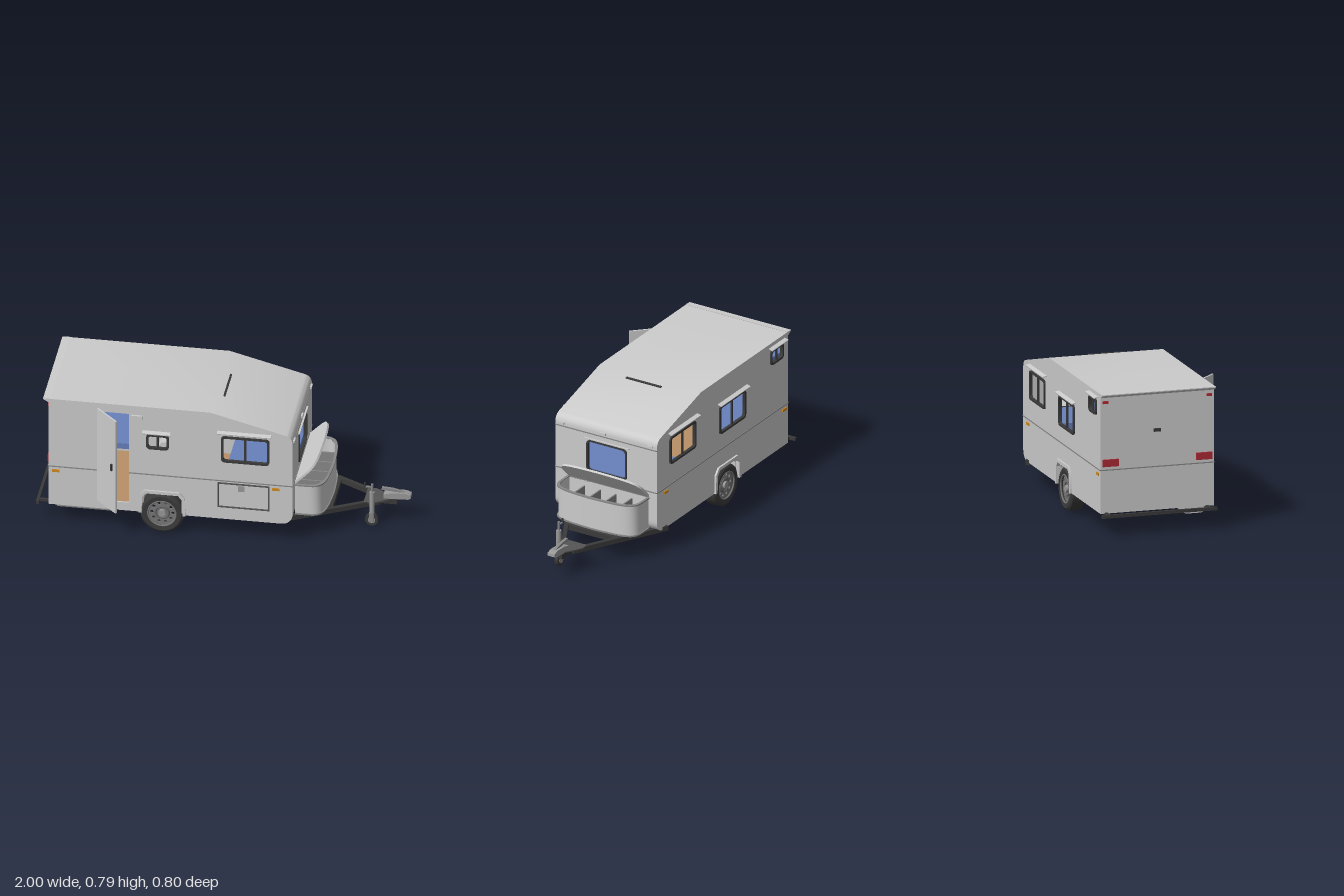
import * as THREE from 'three';
import { toCreasedNormals } from 'three/addons/utils/BufferGeometryUtils.js';

const GREY = 0xcccccc, DARK = 0x3a3a3a, STEEL = 0x555555, BLUE = 0x6680bb, ORANGE = 0xd08a20, RED = 0xb02a35;
const ZL = 0.277, ZR = -0.37, W = ZL - ZR, ZC = (ZL + ZR) / 2;

export function createModel() {
  const root = new THREE.Group();
  const add = (name, geo, color = GREY, parent = root) => {
    const m = new THREE.Mesh(geo, new THREE.MeshStandardMaterial({ color, side: THREE.DoubleSide }));
    m.name = name;
    parent.add(m);
    return m;
  };
  const box = (name, x0, x1, y0, y1, z0, z1, color, parent) => {
    const m = add(name, new THREE.BoxGeometry(x1 - x0, y1 - y0, Math.abs(z1 - z0)), color, parent);
    m.position.set((x0 + x1) / 2, (y0 + y1) / 2, (z0 + z1) / 2);
    return m;
  };
  const extrude = (shape, depth) => toCreasedNormals(
    new THREE.ExtrudeGeometry(shape, { depth, bevelEnabled: false, curveSegments: 10 }), 0.6);
  const poly = (pts) => new THREE.Shape(pts.map(p => new THREE.Vector2(p[0], p[1])));
  const rounded = (x0, x1, y0, y1, r) => {
    const s = new THREE.Shape();
    s.absarc(x1 - r, y0 + r, r, -Math.PI / 2, 0);
    s.absarc(x1 - r, y1 - r, r, 0, Math.PI / 2);
    s.absarc(x0 + r, y1 - r, r, Math.PI / 2, Math.PI);
    s.absarc(x0 + r, y0 + r, r, Math.PI, Math.PI * 1.5);
    s.closePath();
    return s;
  };
  const cyl = (name, r, h, pos, color, axis = 'y', parent = root, n = 20) => {
    const g = new THREE.CylinderGeometry(r, r, h, n);
    if (axis === 'z') g.rotateX(Math.PI / 2);
    if (axis === 'x') g.rotateZ(Math.PI / 2);
    const m = add(name, g, color, parent);
    m.position.set(...pos);
    return m;
  };

  // Body section: rear wall, roof and rounded brow, then the curved nose bottom
  const arc = (cx, cy, r, a0, a1, n = 8) => Array.from({ length: n + 1 }, (_, i) => {
    const a = a0 + (a1 - a0) * i / n;
    return [cx + r * Math.cos(a), cy + r * Math.sin(a)];
  });
  const upper = [[-0.93, 0.125], [-0.93, 0.79], [-0.045, 0.79], ...arc(0.355, 0.635, 0.05, 1.3, 0), [0.405, 0.62]];
  const nose = [[0.405, 0.2], ...arc(0.345, 0.185, 0.06, 0, -Math.PI / 2)];
  const inner = p => [-0.26 + (p[0] + 0.26) * 0.985, 0.45 + (p[1] - 0.45) * 0.97];
  for (const [name, pts] of [['roofAndRear', upper], ['noseBottom', nose]]) {
    add(name, extrude(poly([...pts, ...pts.map(inner).reverse()]), W)).position.z = ZR;
  }
  add('rearRoofLip', extrude(poly([[-0.96, 0.785], [-0.96, 0.79], [-0.92, 0.792], [-0.93, 0.768]]), W)).position.z = ZR;

  // Side walls with wheel arch, window and door openings
  const arch = [[-0.42, 0.125], [-0.415, 0.225], [-0.395, 0.25], [-0.22, 0.25], [-0.2, 0.225], [-0.195, 0.125]];
  const outerArch = [[-0.437, 0.125], [-0.43, 0.235], [-0.405, 0.268], [-0.212, 0.268], [-0.183, 0.235], [-0.178, 0.125]];
  const windows = {
    1: [[0.015, 0.28, 0.487, 0.65, 0.675], [-0.395, -0.27, 0.53, 0.623, 0.637]],
    '-1': [[0.015, 0.28, 0.487, 0.65, 0.675], [-0.49, -0.225, 0.46, 0.628, 0.642], [-0.875, -0.745, 0.66, 0.75, 0.763]],
  };
  for (const s of [1, -1]) {
    const face = s > 0 ? ZL : ZR;
    const side = new THREE.Group();
    side.name = s > 0 ? 'doorSide' : 'plainSide';
    root.add(side);
    const wall = poly([...upper, ...nose, ...[...arch].reverse()]);
    for (const w of windows[s]) wall.holes.push(rounded(w[0], w[1], w[2], w[3], 0.02));
    if (s > 0) wall.holes.push(poly([[-0.66, 0.175], [-0.49, 0.175], [-0.49, 0.76], [-0.66, 0.76]]));
    add('sideWall', extrude(wall, 0.01), GREY, side).position.z = s > 0 ? face - 0.01 : face;

    // Window frames, centre bars and rain hoods
    for (const [x0, x1, y0, y1, hood] of windows[s]) {
      const frame = rounded(x0, x1, y0, y1, 0.022);
      frame.holes.push(rounded(x0 + 0.012, x1 - 0.012, y0 + 0.012, y1 - 0.012, 0.014));
      add('windowFrame', extrude(frame, 0.018), DARK, side).position.z = face - 0.009;
      const mx = (x0 + x1) / 2;
      box('windowBar', mx - 0.006, mx + 0.006, y0, y1, face - 0.005, face + 0.005, DARK, side);
      const h = box('windowHood', x0 - 0.02, x1 + 0.01, hood - 0.003, hood + 0.003, face, face + s * 0.025, GREY, side);
      h.rotation.x = s * 0.25;
    }
    // Belt line and marker lamps
    const beltEnds = s > 0 ? [[-0.93, -0.66], [-0.49, 0.405]] : [[-0.93, 0.405]];
    for (const [a, b] of beltEnds) box('beltLine', a, b, 0.363, 0.369, face, face + s * 0.003, 0x888888, side);
    for (const x of [-0.89, 0.315]) box('markerLamp', x - 0.02, x + 0.02, 0.333, 0.348, face, face + s * 0.006, ORANGE, side);

    // Arch trim, wheel housing and mud flap
    add('archTrim', extrude(poly([...outerArch, ...[...arch].reverse()]), 0.022), GREY, side).position.z = face - 0.011;
    const shell = extrude(poly([...arch, ...arch.map(p => [-0.308 + (p[0] + 0.308) * 0.96, p[1] - (p[1] > 0.13 ? 0.004 : 0)]).reverse()]), 0.11);
    add('wheelHousing', shell, GREY, side).position.z = s > 0 ? face - 0.12 : face + 0.01;
    add('housingPlate', extrude(poly(arch), 0.004), GREY, side).position.z = face - s * 0.12;
    box('mudFlap', -0.2, -0.18, 0.14, 0.22, face - s * 0.06, face + s * 0.009, GREY, side);

    // Wheel: tyre, drilled disc and hub
    const wheel = new THREE.Group();
    wheel.name = 'wheel';
    wheel.position.set(-0.31, 0.122, s > 0 ? 0.233 : -0.327);
    root.add(wheel);
    const tyre = [[0.078, -0.04], [0.105, -0.043], [0.118, -0.034], [0.12, -0.015], [0.12, 0.015], [0.118, 0.034], [0.105, 0.043], [0.078, 0.04], [0.078, -0.04]];
    add('tyre', toCreasedNormals(new THREE.LatheGeometry(tyre.map(p => new THREE.Vector2(...p)), 36).rotateX(Math.PI / 2), 0.6), DARK, wheel);
    const disc = new THREE.Shape().absarc(0, 0, 0.08, 0, Math.PI * 2);
    for (let i = 0; i < 10; i++) {
      const a = i * Math.PI / 5;
      disc.holes.push(new THREE.Path().absarc(0.058 * Math.cos(a), 0.058 * Math.sin(a), 0.009, 0, Math.PI * 2));
    }
    add('wheelDisc', extrude(disc, 0.008), 0x777777, wheel).position.z = s > 0 ? 0.018 : -0.026;
    add('rimEdge', new THREE.TorusGeometry(0.077, 0.005, 8, 32), 0x777777, wheel).position.z = s * 0.038;
    add('hubRing', new THREE.TorusGeometry(0.037, 0.005, 8, 24), 0x666666, wheel).position.z = s * 0.027;
    cyl('hubCap', 0.02, 0.024, [0, 0, s * 0.027], 0x999999, 'z', wheel);
  }
  cyl('axle', 0.016, 0.5, [-0.31, 0.122, ZC], STEEL, 'z');

  // Floor notched around the wheels: dark underside, timber top
  const floor = (z0, z1) => poly([[-0.925, z0], [-0.42, z0], [-0.42, z0 + 0.115], [-0.195, z0 + 0.115], [-0.195, z0], [0.35, z0],
    [0.35, z1], [-0.195, z1], [-0.195, z1 - 0.115], [-0.42, z1 - 0.115], [-0.42, z1], [-0.925, z1]]);
  for (const [name, y, color] of [['underside', 0.125, 0x54463a], ['cabinFloor', 0.135, 0xb98f68]]) {
    add(name, extrude(floor(-ZL + 0.005, -ZR - 0.005), 0.01).rotateX(-Math.PI / 2), color).position.y = y;
  }

  // Front wall with its window
  const front = poly([[-ZL, 0.2], [-ZR, 0.2], [-ZR, 0.62], [-ZL, 0.62]]);
  front.holes.push(rounded(-0.078, 0.18, 0.39, 0.58, 0.025));
  add('frontWall', extrude(front, 0.01).rotateY(Math.PI / 2)).position.x = 0.395;
  const fFrame = rounded(-0.078, 0.18, 0.39, 0.58, 0.03);
  fFrame.holes.push(rounded(-0.068, 0.17, 0.4, 0.57, 0.022));
  add('frontWindowFrame', extrude(fFrame, 0.018).rotateY(Math.PI / 2), DARK).position.x = 0.393;
  box('frontHood', 0.4, 0.415, 0.584, 0.59, -0.195, 0.09);
  box('frontBelt', 0.403, 0.408, 0.363, 0.369, ZR, ZL, 0x888888);
  box('browSeam', 0.403, 0.408, 0.615, 0.621, ZR, ZL, 0x888888);
  for (const z of [0.237, -0.025, -0.327]) box('clearanceLamp', 0.395, 0.414, 0.631, 0.643, z - 0.019, z + 0.019);
  box('roofSlot', -0.006, 0.006, 0.776, 0.784, -0.145, 0.08, DARK).rotation.z = -0.26;

  // Rear wall lamps, belt and catch
  box('rearBelt', -0.933, -0.93, 0.363, 0.369, ZR, ZL, 0x888888);
  for (const s of [1, -1]) {
    const z = ZC + s * 0.265;
    box('tailLamp', -0.938, -0.93, 0.385, 0.425, z - 0.045, z + 0.045, RED);
    box('topLamp', -0.936, -0.93, 0.735, 0.75, z + s * 0.015, z + s * 0.045, RED);
  }
  box('rearCatch', -0.936, -0.93, 0.56, 0.578, ZC - 0.02, ZC + 0.02, DARK);

  // Open door with handle
  const door = new THREE.Group();
  door.name = 'door';
  door.position.set(-0.66, 0, ZL);
  door.rotation.y = -Math.PI / 4;
  root.add(door);
  box('doorPanel', 0, 0.17, 0.175, 0.757, -0.005, 0.005, GREY, door);
  box('doorHandle', 0.135, 0.145, 0.435, 0.475, -0.015, 0.015, DARK, door);
  box('doorLamp', -0.475, -0.415, 0.715, 0.735, ZL, ZL + 0.012);

  // Storage hatch
  const hatch = poly([[-0.005, 0.2], [0.28, 0.2], [0.28, 0.355], [-0.005, 0.355]]);
  hatch.holes.push(poly([[0.002, 0.207], [0.273, 0.207], [0.273, 0.348], [0.002, 0.348]]));
  add('hatchFrame', extrude(hatch, 0.006), STEEL).position.z = ZL;
  box('hatchLatch', 0.107, 0.143, 0.308, 0.342, ZL, ZL + 0.006, 0x999999);

  // Bunks and front bed
  for (const y of [0.31, 0.652]) {
    box('bunkMattress', -0.915, -0.49, y, y + 0.034, ZR + 0.015, -0.05, BLUE);
    box('bunkBoard', -0.915, -0.49, y - 0.012, y, ZR + 0.015, -0.05);
  }
  box('bedBase', 0.03, 0.385, 0.16, 0.34, ZR + 0.015, ZL - 0.015);
  box('bedMattress', 0.03, 0.385, 0.34, 0.4, ZR + 0.015, ZL - 0.015, BLUE);

  // Tank under the floor, rear bar
  const tank = new THREE.Shape().moveTo(0.1, 0.126).lineTo(0.1, 0.112)
    .quadraticCurveTo(0.102, 0.083, 0.14, 0.08).lineTo(0.21, 0.08).quadraticCurveTo(0.248, 0.083, 0.25, 0.126);
  const tankMesh = add('waterTank', extrude(tank, 0.305).rotateY(-Math.PI / 2));
  tankMesh.position.x = -0.585;
  box('rearBar', -1, -0.984, 0.114, 0.132, -0.38, 0.272, DARK);
  for (const z of [-0.335, 0.235]) box('rearBarArm', -0.99, -0.9, 0.116, 0.13, z - 0.008, z + 0.008, DARK);

  // Front locker with raised lid
  const plan = (w, d) => new THREE.Shape().moveTo(0, -w).lineTo(d * 0.42, -w)
    .bezierCurveTo(d * 0.93, -w, d * 0.96, -w * 0.75, d, 0)
    .bezierCurveTo(d * 0.96, w * 0.75, d * 0.93, w, d * 0.42, w).lineTo(0, w).closePath();
  const locker = new THREE.Group();
  locker.name = 'frontLocker';
  locker.position.set(0.406, 0, -0.062);
  root.add(locker);
  const slab = (name, shape, y, h, color, parent = locker) => {
    const m = add(name, extrude(shape, h).rotateX(-Math.PI / 2), color, parent);
    m.position.y = y;
    return m;
  };
  const ring = (w, d) => {
    const s = plan(w, d);
    s.holes.push(plan(0.248, 0.162));
    return s;
  };
  slab('lockerWall', ring(0.256, 0.17), 0.15, 0.178);
  slab('lockerRim', ring(0.262, 0.176), 0.324, 0.008, 0x888888);
  slab('lockerFloor', plan(0.262, 0.176), 0.143, 0.008, 0x888888);
  for (const z of [-0.15, -0.05, 0.05, 0.15]) box('lockerDivider', 0.004, 0.155, 0.15, 0.3, z - 0.004, z + 0.004, 0x888888, locker);
  const lid = slab('lockerLid', plan(0.256, 0.178), 0.332, 0.012);
  lid.rotation.z = 0.8;

  // Drawbar frame
  const HZ = -0.067;
  const bar = (name, x0, z0, x1, z1) => {
    const m = add(name, new THREE.BoxGeometry(Math.hypot(x1 - x0, z1 - z0), 0.028, 0.024), DARK);
    m.position.set((x0 + x1) / 2, 0.126, (z0 + z1) / 2);
    m.rotation.y = -Math.atan2(z1 - z0, x1 - x0);
  };
  for (const s of [1, -1]) bar('drawbarArm', 0.31, HZ + s * 0.31, 0.83, HZ + s * 0.03);
  bar('frameCross', 0.582, HZ - 0.17, 0.582, HZ + 0.17);
  slab('gussetPlate', poly([[0.75, -0.075], [0.8, -0.075], [0.88, -0.025], [0.88, 0.025], [0.8, 0.075], [0.75, 0.075]]), 0.134, 0.007, STEEL, root).position.z = HZ;
  box('drawbarTip', 0.8, 0.925, 0.112, 0.14, HZ - 0.025, HZ + 0.025, DARK);

  // Coupling head and lever
  const head = poly([[0.85, 0.14], [0.985, 0.145], [1, 0.155], [0.998, 0.17], [0.97, 0.18], [0.9, 0.178], [0.85, 0.165]]);
  add('couplingHead', extrude(head, 0.044), 0x999999).position.z = HZ - 0.022;
  const lever = poly([[0.835, 0.185], [0.84, 0.2], [0.9, 0.196], [0.975, 0.178], [0.95, 0.172], [0.89, 0.182]]);
  add('couplingLever', extrude(lever, 0.016), 0x888888).position.z = HZ - 0.008;

  // Jockey wheel
  const jz = 0.01;
  cyl('jockeyTube', 0.014, 0.13, [0.797, 0.145, jz], 0x999999);
  cyl('jockeyStem', 0.007, 0.07, [0.797, 0.225, jz], 0x888888);
  box('crankArm', 0.755, 0.802, 0.238, 0.245, jz - 0.004, jz + 0.004, 0x888888);
  cyl('crankGrip', 0.005, 0.03, [0.758, 0.25, jz], DARK);
  box('jockeyClamp', 0.78, 0.81, 0.115, 0.145, HZ + 0.06, jz, STEEL);
  box('jockeyFork', 0.782, 0.808, 0.03, 0.085, jz + 0.009, jz + 0.015, 0x888888);
  cyl('jockeyTyre', 0.036, 0.02, [0.795, 0.036, jz - 0.004], DARK, 'z', root, 24);
  cyl('jockeyHub', 0.02, 0.025, [0.795, 0.036, jz - 0.004], 0x888888, 'z');
  return root;
}
